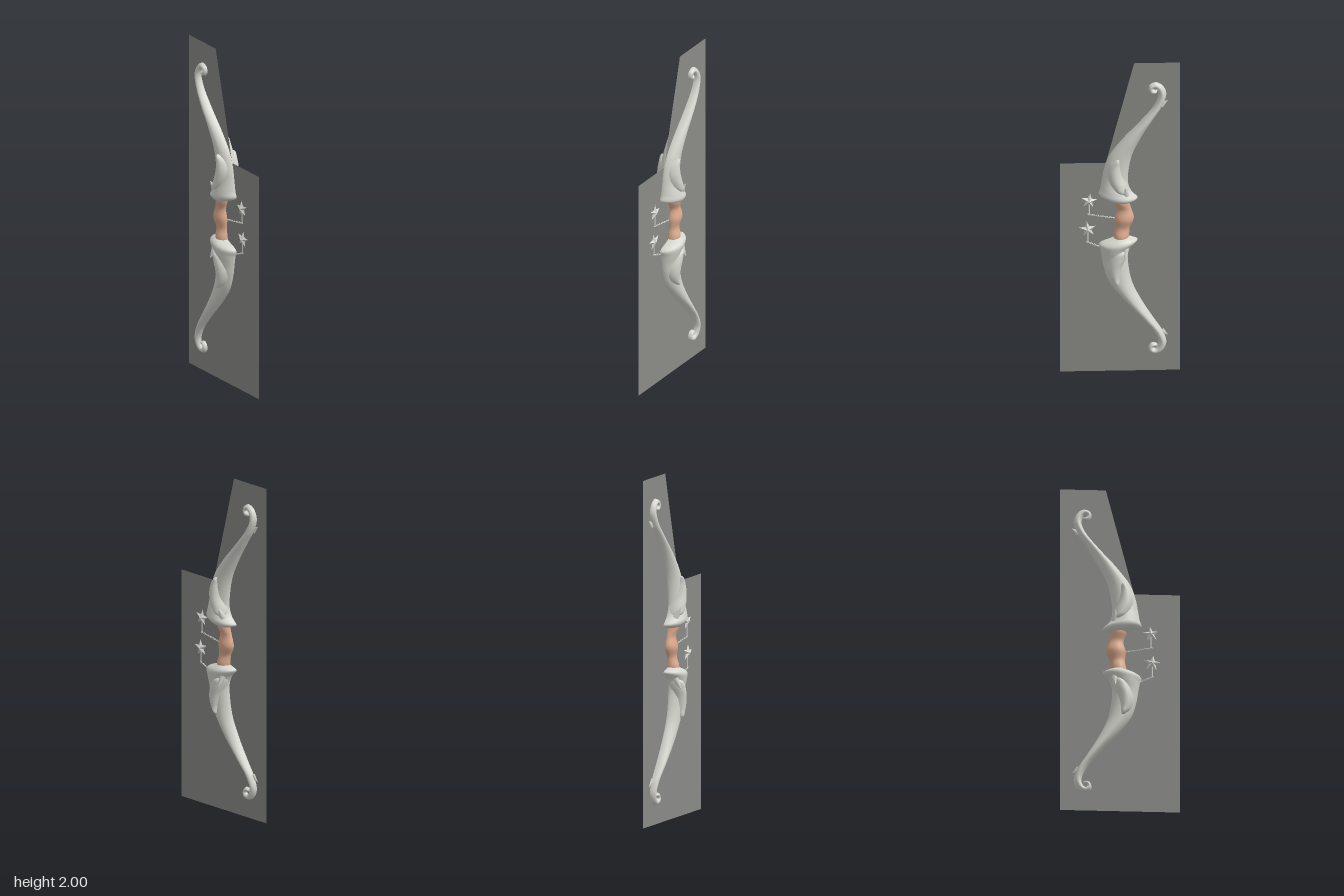
import * as THREE from 'three';

const mat = (name, color, side = THREE.FrontSide) => {
  const m = new THREE.MeshStandardMaterial({ color, side });
  m.name = name;
  return m;
};

const MIRROR_SUM = 1.985; // the lower limb is the upper one with y -> MIRROR_SUM - y

// Upward loft through sections [leftX, leftY, rightX, rightY, halfDepth] with a lens-shaped outline
function loft(sections, steps, sides, pointed) {
  const curve = (f) => new THREE.CatmullRomCurve3(sections.map(f), false, 'centripetal');
  const left = curve((s) => new THREE.Vector3(s[0], s[1], s[4]));
  const right = curve((s) => new THREE.Vector3(s[2], s[3], s[4]));
  const pos = [], index = [];
  for (let i = 0; i <= steps; i++) {
    const a = left.getPoint(i / steps), b = right.getPoint(i / steps);
    for (let j = 0; j < sides; j++) {
      const t = (j / sides) * Math.PI * 2, c = Math.cos(t), s = Math.sin(t);
      const k = (1 + c) / 2;
      pos.push(a.x + (b.x - a.x) * k, a.y + (b.y - a.y) * k,
        Math.max(a.z, 0) * s * Math.abs(s) ** pointed);
      if (i < steps) {
        const p = i * sides + j, q = i * sides + (j + 1) % sides;
        index.push(p, p + sides, q, q, p + sides, q + sides);
      }
    }
  }
  const g = new THREE.BufferGeometry();
  g.setAttribute('position', new THREE.Float32BufferAttribute(pos, 3));
  g.setIndex(index);
  g.computeVertexNormals();
  return g;
}

// Mirror a geometry to the lower half, restoring the corner order
function mirrored(geo) {
  const g = geo.clone().scale(1, -1, 1).translate(0, MIRROR_SUM, 0);
  const ix = g.index.array;
  for (let i = 0; i < ix.length; i += 3) [ix[i + 1], ix[i + 2]] = [ix[i + 2], ix[i + 1]];
  g.computeVertexNormals();
  return g;
}

// Five-pointed star, thick in the middle and sharp at the rim
function starGeometry(r, depth) {
  const rim = [], pos = [];
  for (let i = 0; i < 10; i++) {
    const a = Math.PI / 2 + (i * Math.PI) / 5, q = i % 2 ? r * 0.42 : r;
    rim.push([Math.cos(a) * q, Math.sin(a) * q, 0]);
  }
  rim.forEach((p, i) => {
    const n = rim[(i + 1) % 10];
    pos.push(...p, ...n, 0, 0, depth, ...n, ...p, 0, 0, -depth);
  });
  const g = new THREE.BufferGeometry();
  g.setAttribute('position', new THREE.Float32BufferAttribute(pos, 3));
  g.computeVertexNormals();
  return g;
}

export function createModel() {
  const model = new THREE.Group();
  const bone = mat('paleBone', 0xd6d6cf);
  const leather = mat('tanGrip', 0xdcaa8e);
  const grey = mat('backingGrey', 0x8a8a87, THREE.DoubleSide);
  const add = (name, geo, material, parent = model) => {
    const m = new THREE.Mesh(geo, material);
    m.name = name;
    parent.add(m);
    return m;
  };

  // Flat backing board
  const outline = [[-0.34, 0], [0.34, 0], [0.34, 1.355], [0.08, 1.355], [-0.08, 2], [-0.34, 2]];
  add('backingBoard', new THREE.ShapeGeometry(
    new THREE.Shape(outline.map((p) => new THREE.Vector2(...p)))), grey);

  // Limb: flared guard, S-curved arm and curled tip
  const limb = loft([
    [-0.03, 1.1, 0.02, 1.1, 0.01],
    [-0.06, 1.108, 0.045, 1.115, 0.05],
    [-0.1, 1.128, 0.12, 1.153, 0.075],
    [-0.065, 1.17, 0.112, 1.19, 0.07],
    [-0.046, 1.22, 0.102, 1.25, 0.056],
    [-0.048, 1.3, 0.092, 1.31, 0.052],
    [-0.07, 1.41, 0.063, 1.4, 0.05],
    [-0.13, 1.54, -0.01, 1.505, 0.05],
    [-0.195, 1.65, -0.115, 1.625, 0.046],
    [-0.245, 1.735, -0.192, 1.725, 0.036],
    [-0.262, 1.805, -0.218, 1.79, 0.03],
    [-0.238, 1.857, -0.212, 1.825, 0.026],
    [-0.2, 1.875, -0.202, 1.838, 0.023],
    [-0.167, 1.858, -0.192, 1.84, 0.023],
    [-0.162, 1.828, -0.188, 1.835, 0.022],
    [-0.18, 1.803, -0.191, 1.829, 0.022],
    [-0.208, 1.808, -0.2, 1.826, 0.018],
    [-0.212, 1.826, -0.203, 1.83, 0.004],
  ], 110, 24, 0.2);

  // Leaf-shaped armour bulging from both faces of the limb
  const armour = loft([
    [-0.03, 1.16, 0.01, 1.17, 0.03],
    [-0.05, 1.18, 0.045, 1.2, 0.072],
    [-0.045, 1.215, 0.072, 1.25, 0.077],
    [-0.022, 1.28, 0.08, 1.31, 0.074],
    [-0.008, 1.35, 0.062, 1.365, 0.068],
    [0, 1.395, 0.03, 1.395, 0.064],
    [0.01, 1.402, 0.014, 1.402, 0.03],
  ], 36, 24, 0);

  // Small barb on the outer edge below the curl
  const barb = new THREE.ConeGeometry(0.02, 0.05, 8).scale(1, 1, 0.6)
    .rotateZ(0.9).translate(-0.252, 1.742, 0);
  // Horn at the guard, one on each face
  const horn = (side) => new THREE.ConeGeometry(0.022, 0.07, 10)
    .rotateX(side * 0.55).translate(-0.03, 1.2, side * 0.058);

  const parts = [['limb', limb], ['limbArmour', armour], ['tipBarb', barb],
    ['frontHorn', horn(1)], ['backHorn', horn(-1)]];
  for (const half of ['upper', 'lower']) {
    const group = new THREE.Group();
    group.name = half + 'Limb';
    for (const [name, geo] of parts) add(name, half === 'upper' ? geo : mirrored(geo), bone, group);
    model.add(group);
  }

  // Waisted grip
  add('grip', loft([
    [-0.05, 0.86, 0.038, 0.86, 0.046],
    [-0.052, 0.89, 0.036, 0.89, 0.044],
    [-0.056, 0.935, 0.028, 0.935, 0.031],
    [-0.079, 0.995, 0.032, 0.995, 0.042],
    [-0.064, 1.055, 0.02, 1.055, 0.031],
    [-0.052, 1.1, 0.034, 1.1, 0.044],
    [-0.05, 1.125, 0.04, 1.125, 0.046],
  ], 40, 20, 0), leather);

  // Star charms, each standing on a post at the end of a chain
  const charms = [
    { name: 'upperCharm', x: 0.175, y: 1.108, r: 0.048, tilt: 0.12, foot: 1.02, from: [0.03, 0.995] },
    { name: 'lowerCharm', x: 0.183, y: 0.925, r: 0.05, tilt: -0.12, foot: 0.84, from: [0.1, 0.805] },
  ];
  for (const c of charms) {
    const group = new THREE.Group();
    group.name = c.name;
    const star = add('star', starGeometry(c.r, 0.018), bone, group);
    star.position.set(c.x, c.y, 0);
    star.rotation.z = c.tilt;
    const top = c.y - c.r * 0.4;
    const post = add('post', new THREE.CylinderGeometry(0.004, 0.004, top - c.foot, 8), bone, group);
    post.position.set(c.x, (top + c.foot) / 2, 0);
    // Chain links, alternately turned
    const dx = c.x - c.from[0], dy = c.foot - c.from[1];
    const count = Math.round(Math.hypot(dx, dy) / 0.012);
    for (let i = 0; i <= count; i++) {
      const link = add('chainLink', new THREE.TorusGeometry(0.005, 0.002, 6, 10)
        .scale(1.5, 0.8, 1).rotateX((i % 2) * Math.PI / 2).rotateZ(Math.atan2(dy, dx)), bone, group);
      link.position.set(c.from[0] + dx * i / count, c.from[1] + dy * i / count, 0);
    }
    model.add(group);
  }
  return model;
}
